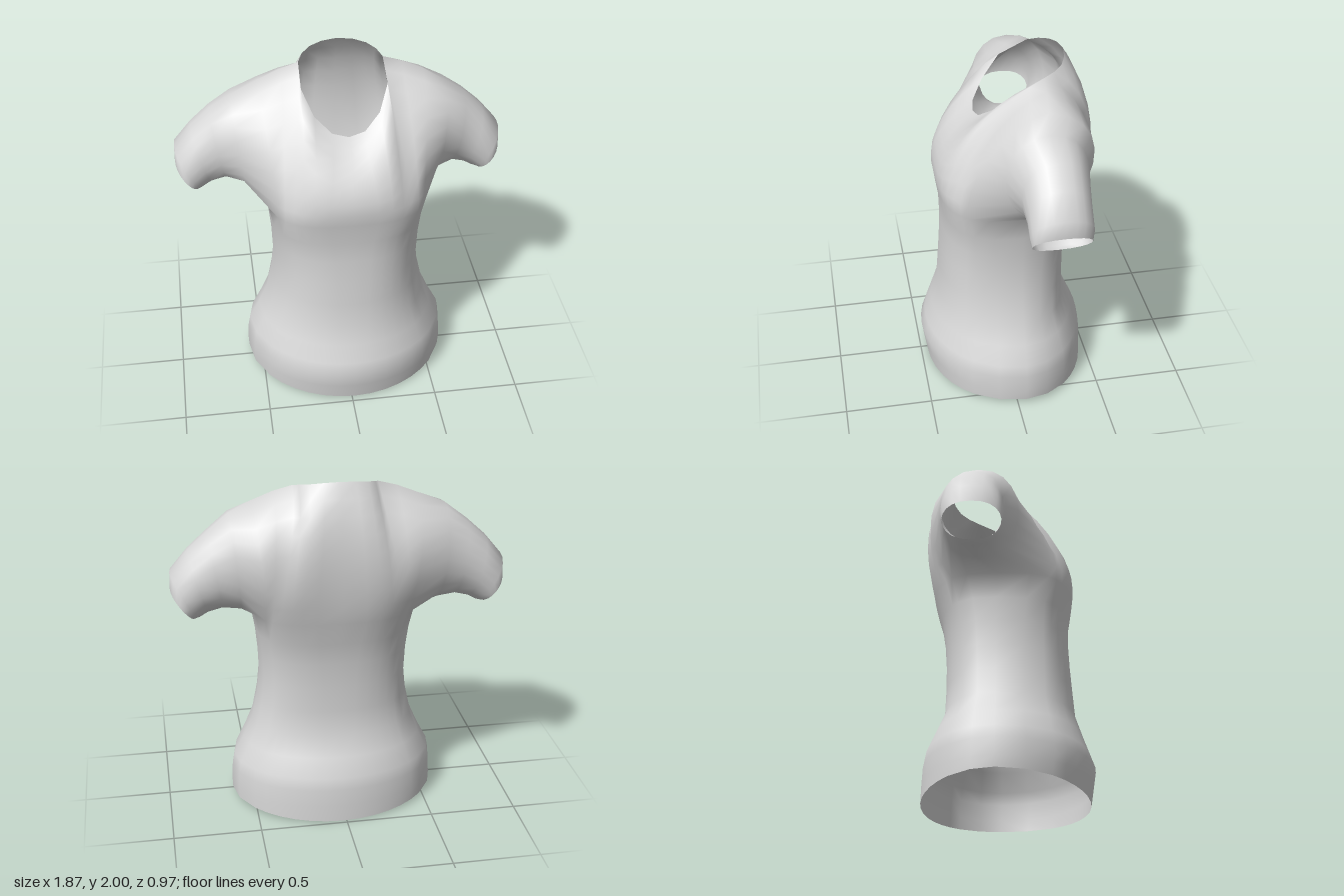
import * as THREE from 'three';
import { mergeVertices } from 'three/addons/utils/BufferGeometryUtils.js';

const CX = 0.02;      // the torso sits slightly off centre
const ZC = -0.05;     // depth of the side seams
const COLS = 12;      // columns across the front and back panels
const ROWS = 8;       // rows from armpit to shoulder
const SIDE = 4;       // columns under each arm

// Torso sections from hem to armpit: y, half width, front z, back z, roundness
const BODY = [
  [0, 0.6, 0.46, -0.48, 2],
  [0.1, 0.603, 0.475, -0.477, 2],
  [0.2, 0.598, 0.49, -0.472, 2],
  [0.27, 0.585, 0.465, -0.46, 2],
  [0.38, 0.527, 0.425, -0.41, 2.1],
  [0.5, 0.475, 0.385, -0.355, 2.2],
  [0.65, 0.442, 0.372, -0.35, 2.3],
  [0.8, 0.425, 0.36, -0.35, 2.4],
  [0.95, 0.43, 0.352, -0.36, 2.5],
  [1.08, 0.442, 0.353, -0.38, 2.7],
  [1.22, 0.465, 0.375, -0.42, 3],
];

// Half of the upper edge, outer shoulder to centre: x, y, z
const SHOULDER = [[0.46, 1.87, -0.17], [0.34, 1.92, -0.18], [0.235, 1.95, -0.19]];
const NECK_FRONT = [...SHOULDER,
  [0.238, 1.87, -0.03], [0.18, 1.755, 0.075], [0.09, 1.68, 0.14], [0, 1.66, 0.155]];
const NECK_BACK = [...SHOULDER,
  [0.208, 1.968, -0.25], [0.16, 1.982, -0.3], [0.09, 1.994, -0.33], [0, 2, -0.342]];

// Sleeve rings: top x, top y, bottom x, bottom y, front z, back z
const SLEEVE = [
  [0.6, 1.8, 0.55, 1.26, 0.075, -0.375],
  [0.72, 1.71, 0.65, 1.28, 0.01, -0.355],
  [0.83, 1.61, 0.73, 1.26, 0, -0.343],
  [0.93, 1.49, 0.775, 1.235, 0, -0.34],
  [0.933, 1.39, 0.8, 1.23, -0.01, -0.33],
];

const range = (a, b, n) => Array.from({ length: n + 1 }, (_, i) => a + (b - a) * i / n);
const rad = THREE.MathUtils.degToRad;
const power = (v, e) => Math.sign(v) * Math.abs(v) ** e;

// Point on a rounded torso section; 0 degrees is the left side, 90 the front
function bodyPoint([y, w, front, back, n], deg) {
  const c = Math.cos(rad(deg)), s = Math.sin(rad(deg));
  const lift = y === 0 ? 0.035 * c * c : 0;
  const depth = s > 0 ? front - ZC : ZC - back;
  return new THREE.Vector3(CX + w * power(c, 2 / n), y + lift, ZC + depth * power(s, 2 / n));
}

// One column of the front or back panel, from armpit level to the upper edge
function panelColumn(deg, c, isFront) {
  const side = isFront ? 1 : -1;             // the back runs from right to left
  const k = Math.min(c, COLS - c);
  const u = 1 - k / (COLS / 2);
  const sx = (c <= COLS / 2 ? 1 : -1) * side;
  const [x, y, z] = (isFront ? NECK_FRONT : NECK_BACK)[k];
  const p0 = bodyPoint(BODY[BODY.length - 1], deg);
  const p1 = new THREE.Vector3(CX + sx * x, y, z);
  const c1 = p0.clone(), c2 = p1.clone();
  if (isFront) {
    c1.add(new THREE.Vector3(0, 0.2, 0.05));
    c2.add(new THREE.Vector3(0, -0.13 + 0.08 * u, 0.12 + 0.12 * u));
  } else {
    c1.add(new THREE.Vector3(0, 0.25, -0.05 - 0.12 * u));
    c2.add(new THREE.Vector3(0, -0.2 + 0.12 * u, -0.14 - 0.2 * u));
  }
  return new THREE.CubicBezierCurve3(p0, c1, c2, p1).getPoints(ROWS);
}

// Sleeve rings, starting at the armhole cut in the panels
function sleeveRings(frontCol, backCol, underArm, sx) {
  const armhole = [...frontCol, ...backCol.slice(0, -1).reverse(), ...underArm.slice(1)];
  const angles = [
    ...range(-50, 90, ROWS),
    ...range(90, 230, ROWS).slice(1),
    ...range(230, 310, SIDE).slice(1),
  ];
  const rings = SLEEVE.map(([tx, ty, bx, by, zf, zb]) => angles.map((deg) => {
    const h = (Math.sin(rad(deg)) + 1) / 2;
    return new THREE.Vector3(
      sx * (bx + (tx - bx) * h),
      by + (ty - by) * h,
      (zf + zb) / 2 + (zf - zb) / 2 * power(Math.cos(rad(deg)), 0.85));
  }));
  return [armhole, ...rings];
}

export function createModel() {
  const positions = [];
  const parts = [];

  // Skins a grid of points and records which triangles belong to the part
  function addPart(name, rows, flip = false) {
    const start = positions.length / 3;
    const tri = (a, b, c) => (flip ? [a, c, b] : [a, b, c])
      .forEach((p) => positions.push(p.x, p.y, p.z));
    for (let r = 0; r < rows.length - 1; r++) {
      for (let c = 0; c < rows[r].length - 1; c++) {
        const a = rows[r][c], b = rows[r][c + 1];
        const d = rows[r + 1][c], e = rows[r + 1][c + 1];
        tri(a, d, b);
        tri(d, e, b);
      }
    }
    parts.push({ name, start, end: positions.length / 3 });
  }

  // Lower torso
  const frontAngles = range(35, 145, COLS);
  const backAngles = range(215, 325, COLS);
  const rightSide = range(145, 215, SIDE);
  const leftSide = range(325, 395, SIDE);
  const ring = [...frontAngles, ...rightSide.slice(1), ...backAngles.slice(1), ...leftSide.slice(1)];
  addPart('torso', BODY.map((row) => ring.map((deg) => bodyPoint(row, deg))));

  // Chest and upper back, leaving the neck open between them
  const front = frontAngles.map((deg, c) => panelColumn(deg, c, true));
  const back = backAngles.map((deg, c) => panelColumn(deg, c, false));
  const toRows = (cols) => range(0, ROWS, ROWS).map((r) => cols.map((col) => col[r]));
  addPart('chestPanel', toRows(front));
  addPart('upperBackPanel', toRows(back));

  // Sleeves
  const armpit = BODY[BODY.length - 1];
  const leftUnder = leftSide.map((deg) => bodyPoint(armpit, deg));
  const rightUnder = rightSide.map((deg) => bodyPoint(armpit, deg)).reverse();
  addPart('leftSleeve', sleeveRings(front[0], back[COLS], leftUnder, 1));
  addPart('rightSleeve', sleeveRings(front[COLS], back[0], rightUnder, -1), true);

  // Weld all parts so that shading runs smoothly across the seams
  const soup = new THREE.BufferGeometry();
  soup.setAttribute('position', new THREE.Float32BufferAttribute(positions, 3));
  const welded = mergeVertices(soup, 1e-4);
  welded.computeVertexNormals();

  const fabric = new THREE.MeshStandardMaterial({ color: 0xd8d8d8, side: THREE.DoubleSide });
  fabric.name = 'lightGreyFabric';
  const shirt = new THREE.Group();
  shirt.name = 'shirt';
  for (const { name, start, end } of parts) {
    const geometry = new THREE.BufferGeometry();
    geometry.setAttribute('position', welded.getAttribute('position'));
    geometry.setAttribute('normal', welded.getAttribute('normal'));
    geometry.setIndex(Array.from(welded.index.array.slice(start, end)));
    const mesh = new THREE.Mesh(geometry, fabric);
    mesh.name = name;
    shirt.add(mesh);
  }
  return shirt;
}
